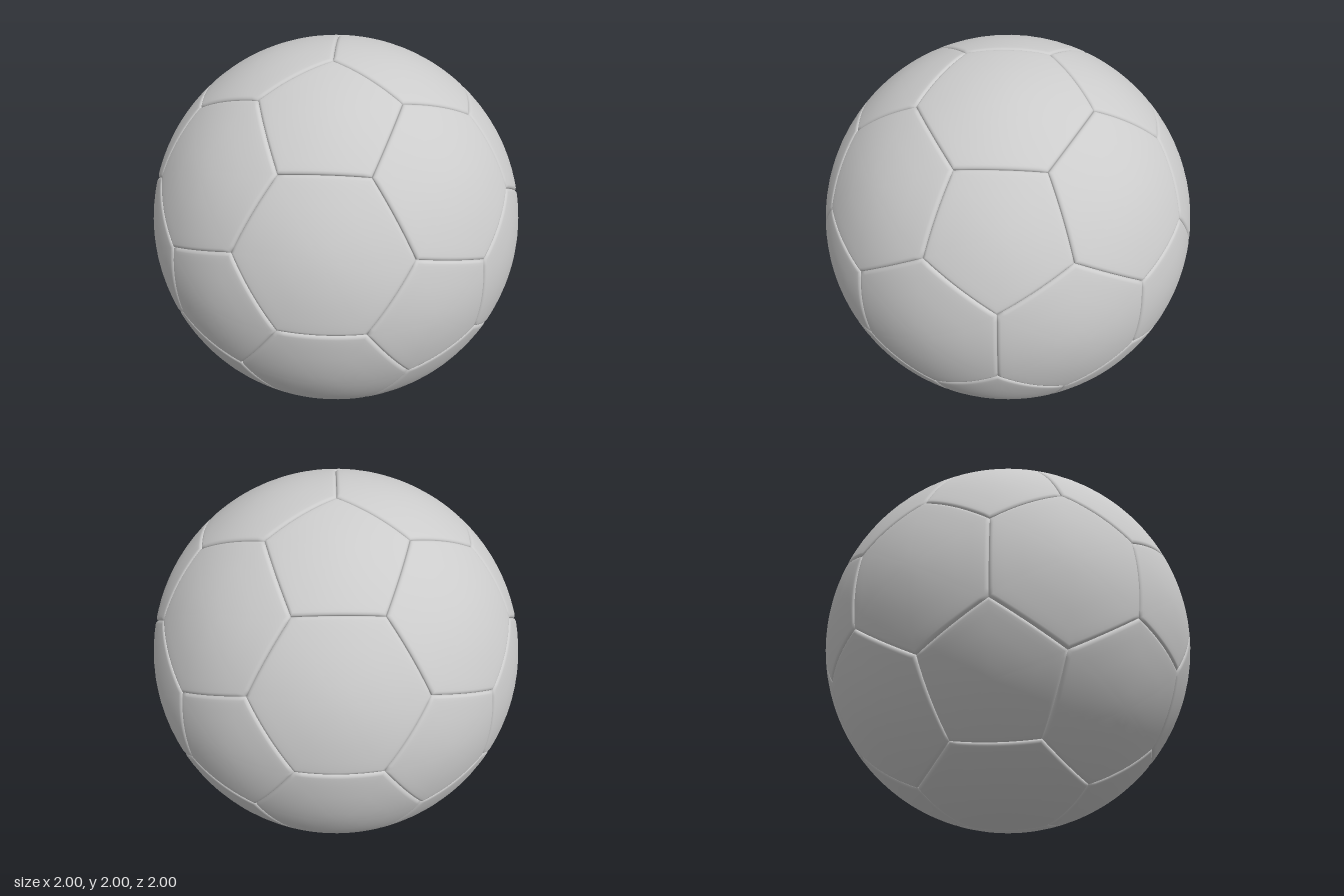
import * as THREE from 'three';
import { mergeVertices } from 'three/addons/utils/BufferGeometryUtils.js';

const PHI = (1 + Math.sqrt(5)) / 2;
const SEAM_WIDTH = 0.02, SEAM_DEPTH = 0.014; // rounded lip on each side of a seam
const SIDE_STEPS = 12;
const RINGS = [0, 0.2, 0.4, 0.6, 0.8, 0.9, 0.945, 0.96, 0.972, 0.982, 0.99, 0.996, 1];

// Twelve icosahedron directions: the pentagon centres
function pentagonCentres() {
  const out = [];
  for (const a of [-1, 1]) for (const b of [-PHI, PHI]) {
    out.push(new THREE.Vector3(a, 0, b), new THREE.Vector3(b, a, 0), new THREE.Vector3(0, b, a));
  }
  return out.map((v) => v.normalize());
}

// The n panel corners around a centre, counter-clockwise seen from outside
function cornersAround(centre, corners, n) {
  const near = [...corners].sort((a, b) => b.dot(centre) - a.dot(centre)).slice(0, n);
  const u = near[0].clone().addScaledVector(centre, -near[0].dot(centre)).normalize();
  const v = centre.clone().cross(u);
  const angle = (p) => Math.atan2(p.dot(v), p.dot(u));
  return near.sort((a, b) => angle(a) - angle(b));
}

// Spherical panel made of rings from its centre to the seam, with a rounded lip
function panelGeometry(centre, corners) {
  const n = corners.length, count = n * SIDE_STEPS;
  const positions = [], index = [];
  RINGS.forEach((t, k) => {
    for (let j = 0; j < count; j++) {
      const side = Math.floor(j / SIDE_STEPS);
      const a = corners[side], b = corners[(side + 1) % n];
      const edge = a.clone().lerp(b, (j % SIDE_STEPS) / SIDE_STEPS).normalize();
      const p = centre.clone().lerp(edge, t).normalize();
      const inward = a.clone().cross(b).normalize();
      const s = THREE.MathUtils.clamp(Math.asin(p.dot(inward)) / SEAM_WIDTH, 0, 1);
      p.multiplyScalar(1 - SEAM_DEPTH * (1 - Math.sqrt(1 - (1 - s) ** 2)));
      positions.push(p.x, p.y, p.z);
      if (k === RINGS.length - 1) continue;
      const next = (j + 1) % count, i0 = k * count, i1 = i0 + count;
      index.push(i0 + j, i1 + j, i1 + next);
      if (k > 0) index.push(i0 + j, i1 + next, i0 + next);
    }
  });
  const geometry = new THREE.BufferGeometry();
  geometry.setAttribute('position', new THREE.Float32BufferAttribute(positions, 3));
  geometry.setIndex(index);
  const merged = mergeVertices(geometry, 1e-5);
  merged.computeVertexNormals();
  return merged;
}

export function createModel() {
  const model = new THREE.Group();
  model.name = 'ball';
  const material = new THREE.MeshStandardMaterial({ color: 0xcccccc });

  const pentagons = pentagonCentres();
  const adjacent = (a, b) => a !== b && a.dot(b) > 0.4;
  const corners = [], hexagons = [];
  pentagons.forEach((a, i) => pentagons.forEach((b, j) => {
    if (!adjacent(a, b)) return;
    // Panel corners lie a third of the way along each icosahedron edge
    corners.push(a.clone().multiplyScalar(2).add(b).normalize());
    // Hexagons sit at the icosahedron's face centres
    pentagons.forEach((c, k) => {
      if (i < j && j < k && adjacent(a, c) && adjacent(b, c)) {
        hexagons.push(a.clone().add(b).add(c).normalize());
      }
    });
  }));

  const addPanels = (name, centres, sides) => {
    const group = new THREE.Group();
    group.name = name + 's';
    centres.forEach((centre, i) => {
      const mesh = new THREE.Mesh(panelGeometry(centre, cornersAround(centre, corners, sides)), material);
      mesh.name = name + (i + 1);
      group.add(mesh);
    });
    group.position.y = 1;
    model.add(group);
  };
  addPanels('pentagonPanel', pentagons, 5);
  addPanels('hexagonPanel', hexagons, 6);
  return model;
}
